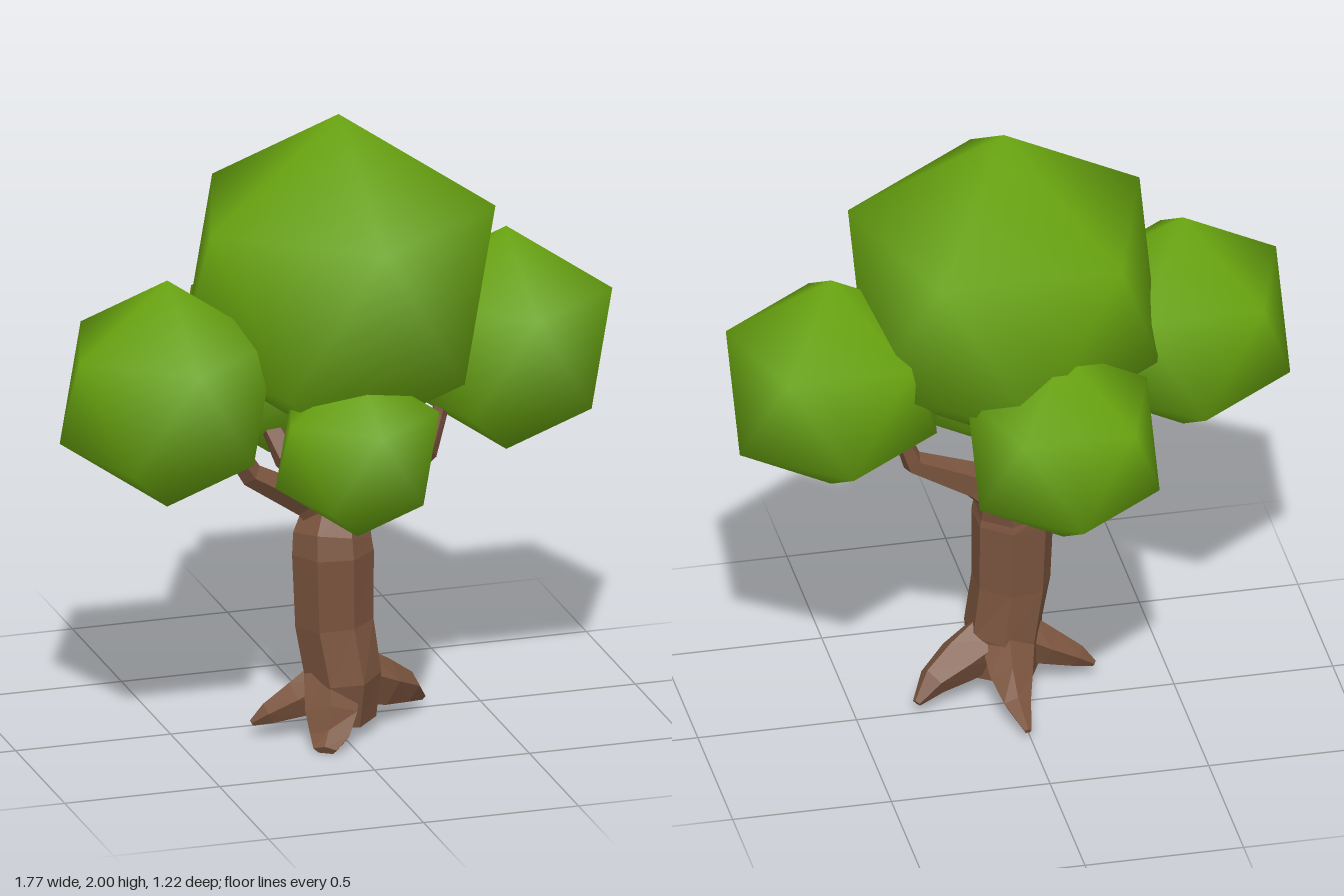
import * as THREE from 'three';

const X = new THREE.Vector3(1, 0, 0), Y = new THREE.Vector3(0, 1, 0), Z = new THREE.Vector3(0, 0, 1);

// Faceted limb through rings [x, y, z, half width, half depth]; ref steadies the rings.
function limb(rings, sides, ref, turn = 0) {
  const centres = rings.map(r => new THREE.Vector3(r[0], r[1], r[2]));
  const pos = [], idx = [], last = rings.length - 1;
  rings.forEach(([, , , a, b], i) => {
    const t = centres[Math.min(i + 1, last)].clone().sub(centres[Math.max(i - 1, 0)]).normalize();
    const u = ref.clone().cross(t).normalize();
    const v = t.clone().cross(u);
    for (let j = 0; j < sides; j++) {
      const ang = (j / sides) * Math.PI * 2 + turn;
      const p = centres[i].clone().addScaledVector(u, a * Math.cos(ang)).addScaledVector(v, b * Math.sin(ang));
      pos.push(p.x, Math.max(0, p.y), p.z);
    }
  });
  for (let i = 0; i < last; i++) {
    for (let j = 0; j < sides; j++) {
      const k = (j + 1) % sides, p = i * sides, q = p + sides;
      idx.push(p + j, p + k, q + k, p + j, q + k, q + j);
    }
  }
  // End caps
  for (let j = 1; j < sides - 1; j++) {
    const e = last * sides;
    idx.push(0, j + 1, j, e, e + j, e + j + 1);
  }
  const g = new THREE.BufferGeometry();
  g.setAttribute('position', new THREE.Float32BufferAttribute(pos, 3));
  g.setIndex(idx);
  const flat = g.toNonIndexed();
  flat.computeVertexNormals();
  return flat;
}

// Icosahedron standing on one corner, with smooth normals
function leafBall() {
  const g = new THREE.IcosahedronGeometry(1, 0);
  g.rotateX(-Math.atan((1 + Math.sqrt(5)) / 2));
  g.setAttribute('normal', g.attributes.position.clone());
  return g;
}

export function createModel() {
  const tree = new THREE.Group();
  tree.name = 'tree';
  const bark = new THREE.MeshStandardMaterial({ color: 0x7a543e });
  bark.name = 'bark brown';
  bark.flatShading = true;
  const leaf = new THREE.MeshStandardMaterial({ color: 0x6aa610 });
  leaf.name = 'leaf green';

  const add = (name, geometry, material) => {
    const mesh = new THREE.Mesh(geometry, material);
    mesh.name = name;
    tree.add(mesh);
    return mesh;
  };

  // Trunk
  add('trunk', limb([
    [0.01, 0.06, 0.12, 0.12, 0.11],
    [0.01, 0.2, 0.135, 0.14, 0.12],
    [-0.015, 0.37, 0.13, 0.118, 0.125],
    [-0.02, 0.6, 0.13, 0.127, 0.13],
    [-0.02, 0.65, 0.125, 0.12, 0.125],
    [0.0, 0.74, 0.1, 0.1, 0.1],
    [0.0, 0.8, 0.09, 0.05, 0.08],
  ], 7, X, 0.25), bark);

  // Roots
  const roots = {
    rightRoot: [[-0.02, 0.17, 0.13, 0.07, 0.09], [-0.13, 0.12, 0.12, 0.06, 0.06], [-0.22, 0.08, 0.11, 0.04, 0.035], [-0.27, 0.05, 0.1, 0.012, 0.01]],
    leftRoot: [[0.04, 0.18, 0.12, 0.09, 0.1], [0.16, 0.13, 0.08, 0.08, 0.075], [0.25, 0.09, 0.04, 0.05, 0.05], [0.31, 0.04, 0.0, 0.015, 0.012]],
    frontRoot: [[-0.03, 0.2, 0.16, 0.09, 0.07], [-0.05, 0.1, 0.22, 0.085, 0.07], [-0.07, 0.04, 0.27, 0.065, 0.04], [-0.1, 0.015, 0.315, 0.04, 0.015]],
    backRoot: [[0.01, 0.19, 0.08, 0.09, 0.08], [0.02, 0.11, -0.03, 0.07, 0.06], [0.02, 0.07, -0.12, 0.045, 0.03], [0.01, 0.035, -0.23, 0.012, 0.008]],
  };
  for (const [name, rings] of Object.entries(roots)) add(name, limb(rings, 5, Y, Math.PI / 2), bark);

  // Branches
  const branches = {
    rightBranch: [[0.0, 0.68, 0.11, 0.08, 0.08], [-0.1, 0.77, 0.12, 0.055, 0.055], [-0.29, 0.885, 0.15, 0.04, 0.04], [-0.35, 0.98, 0.17, 0.035, 0.035], [-0.4, 1.08, 0.18, 0.03, 0.03]],
    leftBranch: [[0.0, 0.67, 0.11, 0.08, 0.08], [0.11, 0.76, 0.09, 0.06, 0.055], [0.31, 0.87, 0.06, 0.037, 0.04], [0.35, 0.98, 0.05, 0.026, 0.03], [0.38, 1.08, 0.05, 0.025, 0.025]],
    backBranch: [[0.0, 0.72, 0.1, 0.07, 0.07], [-0.03, 0.79, -0.01, 0.055, 0.055], [-0.09, 0.83, -0.11, 0.045, 0.045], [-0.13, 0.93, -0.16, 0.035, 0.035], [-0.13, 1.02, -0.21, 0.03, 0.03]],
  };
  for (const [name, rings] of Object.entries(branches)) {
    add(name, limb(rings, 5, name === 'backBranch' ? X : Z, 0.3), bark);
  }
  add('middleBranch', limb([
    [0.0, 0.72, 0.11, 0.07, 0.08], [0.0, 0.85, 0.11, 0.045, 0.055], [0.0, 1.02, 0.12, 0.035, 0.04],
  ], 5, X), bark);

  // Foliage: centre x, y, z and radius
  const ball = leafBall();
  const foliage = {
    crownFoliage: [0.02, 1.46, 0.07, 0.54],
    rightFoliage: [-0.57, 1.19, 0.187, 0.37],
    leftFoliage: [0.57, 1.2, 0.043, 0.365],
    frontFoliage: [-0.01, 1.002, 0.358, 0.282],
    backFoliage: [-0.082, 1.105, -0.316, 0.333],
  };
  for (const [name, [x, y, z, r]] of Object.entries(foliage)) {
    const mesh = add(name, ball, leaf);
    mesh.position.set(x, y, z);
    mesh.scale.setScalar(r);
  }
  return tree;
}
